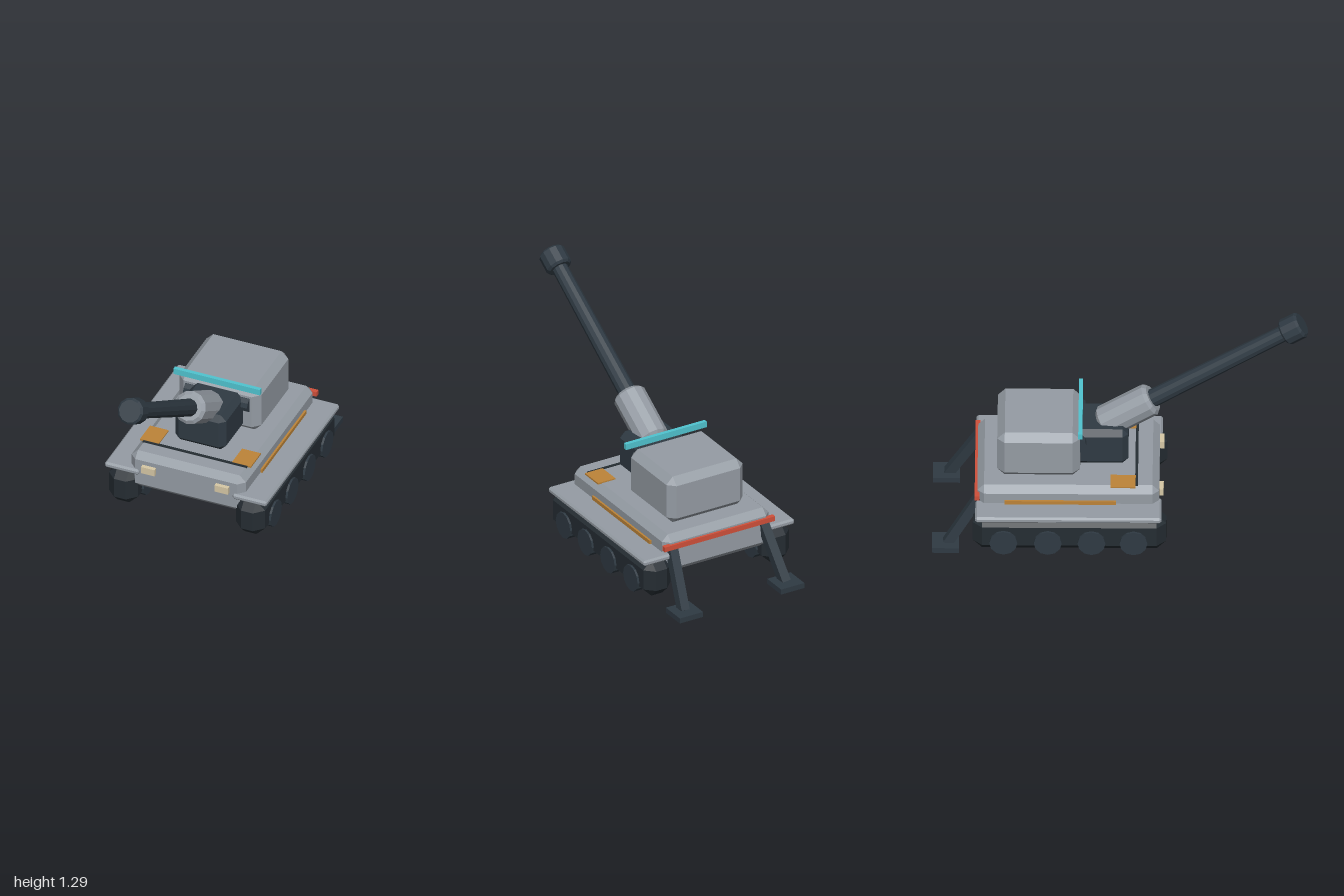
import * as THREE from 'three';
import { ConvexGeometry } from 'three/addons/geometries/ConvexGeometry.js';

function paint(name, color) {
  const m = new THREE.MeshStandardMaterial({ color });
  m.name = name;
  m.flatShading = true;
  return m;
}

// box given by its extents, with every edge cut at 45 degrees
function chamferBox([x0, x1], [y0, y1], [z0, z1], c) {
  const h = [(x1 - x0) / 2, (y1 - y0) / 2, (z1 - z0) / 2];
  const pts = [];
  for (const sx of [-1, 1]) for (const sy of [-1, 1]) for (const sz of [-1, 1])
    for (let a = 0; a < 3; a++) {
      const p = h.map((v, i) => (i === a ? v : v - c));
      pts.push(new THREE.Vector3(p[0] * sx, p[1] * sy, p[2] * sz));
    }
  return new ConvexGeometry(pts).translate((x0 + x1) / 2, (y0 + y1) / 2, (z0 + z1) / 2);
}

function box([x0, x1], [y0, y1], [z0, z1]) {
  return new THREE.BoxGeometry(x1 - x0, y1 - y0, z1 - z0)
    .translate((x0 + x1) / 2, (y0 + y1) / 2, (z0 + z1) / 2);
}

// cylinder along y with bevelled rims, centred on the origin
function bevelCylinder(r, length, b, sides) {
  const h = length / 2;
  return new THREE.LatheGeometry([
    new THREE.Vector2(0, -h), new THREE.Vector2(r - b, -h), new THREE.Vector2(r, -h + b),
    new THREE.Vector2(r, h - b), new THREE.Vector2(r - b, h), new THREE.Vector2(0, h),
  ], sides);
}

export function createModel() {
  const model = new THREE.Group();
  model.name = 'selfPropelledGun';
  const grey = paint('armourGrey', 0x959ca4);
  const dark = paint('gunmetal', 0x2f3a43);
  const rubber = paint('trackBlack', 0x252d33);
  const amber = paint('amber', 0xbd8438);
  const cream = paint('lampCream', 0xd6c8a6);
  const red = paint('tailRed', 0xd0503a);
  const cyan = paint('sensorCyan', 0x50c4d0);

  const add = (name, geometry, material, parent = model) => {
    const mesh = new THREE.Mesh(geometry, material);
    mesh.name = name;
    parent.add(mesh);
    return mesh;
  };

  // body
  add('hull', chamferBox([-0.33, 0.33], [0.16, 0.385], [-0.76, 0.205], 0.036), grey);
  add('turret', chamferBox([-0.237, 0.237], [0.38, 0.655], [-0.655, -0.215], 0.04), grey);
  add('mantlet', chamferBox([-0.147, 0.147], [0.4, 0.62], [-0.25, 0.04], 0.032), dark);
  add('trunnion', new THREE.CylinderGeometry(0.044, 0.044, 0.37, 10)
    .rotateZ(Math.PI / 2).translate(0, 0.56, -0.225), dark);

  // gun, built along +y and tilted forward
  const gun = new THREE.Group();
  gun.name = 'gun';
  gun.position.set(0, 0.66, 0.035);
  gun.rotation.x = Math.PI / 2 - 0.556;
  model.add(gun);
  add('sleeve', bevelCylinder(0.09, 0.315, 0.018, 12), grey, gun);
  add('barrel', new THREE.CylinderGeometry(0.043, 0.05, 1.03, 12).translate(0, 0.515, 0), dark, gun);
  add('muzzle', bevelCylinder(0.073, 0.112, 0.012, 12).translate(0, 1.033, 0), dark, gun);

  // fittings across the middle
  add('sensorBar', box([-0.25, 0.25], [0.65, 0.684], [-0.225, -0.203]), cyan);
  add('tailBar', box([-0.342, 0.342], [0.312, 0.34], [-0.774, -0.748]), red);
  add('deckSeam', box([-0.3, 0.3], [0.382, 0.39], [0.077, 0.092]), rubber);

  // everything mirrored left and right
  for (const s of [1, -1]) {
    const side = s > 0 ? 'left' : 'right';
    const span = (a, b) => (s > 0 ? [a, b] : [-b, -a]);
    add(side + 'Fender', chamferBox(span(0.27, 0.467), [0.254, 0.288], [-0.77, 0.218], 0.01), grey);
    add(side + 'Track', chamferBox(span(0.283, 0.451), [0.05, 0.265], [-0.783, 0.243], 0.05), rubber);
    for (const z of [0.07, -0.153, -0.385, -0.62])
      add(side + 'Wheel', new THREE.CylinderGeometry(0.074, 0.074, 0.192, 12)
        .rotateZ(Math.PI / 2).translate(s * 0.367, 0.121, z), dark);

    add(side + 'Hatch', box(span(0.212, 0.32), [0.383, 0.392], [-0.053, 0.08]), amber);
    add(side + 'SideStrip', box(span(0.325, 0.341), [0.285, 0.309], [-0.615, -0.025]), amber);
    add(side + 'Headlight', box(span(0.173, 0.251), [0.285, 0.325], [0.195, 0.228]), cream);

    // rear stabiliser
    const top = new THREE.Vector3(s * 0.282, 0.3, -0.747);
    const foot = new THREE.Vector3(s * 0.314, 0.02, -0.918);
    const leg = add(side + 'StabiliserLeg', new THREE.BoxGeometry(0.05, top.distanceTo(foot), 0.052), dark);
    leg.position.copy(top).add(foot).multiplyScalar(0.5);
    leg.quaternion.setFromUnitVectors(new THREE.Vector3(0, 1, 0), top.clone().sub(foot).normalize());
    add(side + 'StabiliserFoot', box(span(0.242, 0.386), [0, 0.03], [-1, -0.857]), dark);
  }
  return model;
}
